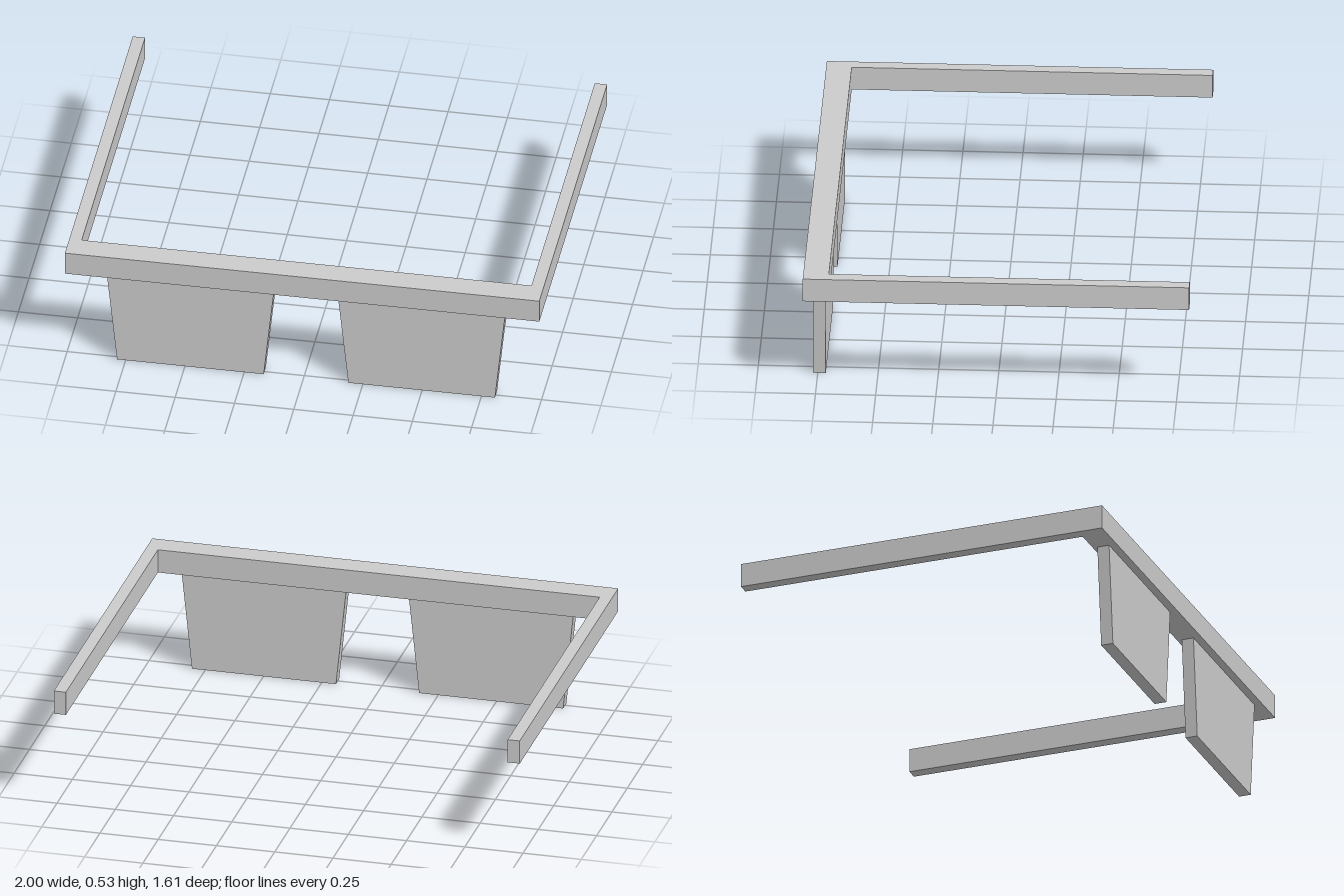
import * as THREE from 'three';

const material = new THREE.MeshStandardMaterial({ color: 0xcccccc, flatShading: true });

function shapeFrom(points) {
  return new THREE.Shape(points.map(([x, y]) => new THREE.Vector2(x, y)));
}

function addExtrusion(group, name, points, depth) {
  const geometry = new THREE.ExtrudeGeometry(shapeFrom(points), { depth, bevelEnabled: false });
  const mesh = new THREE.Mesh(geometry, material);
  mesh.name = name;
  group.add(mesh);
  return mesh;
}

export function createModel() {
  const group = new THREE.Group();
  group.name = 'glasses';

  // Brow bar and both temple arms as one U-shaped outline, drawn in plan (shape y = -z)
  const back = 0.803, front = -0.803, inner = 0.948, barBack = -0.697;
  const frame = addExtrusion(group, 'frame', [
    [-1, front], [1, front], [1, back], [inner, back],
    [inner, barBack], [-inner, barBack], [-inner, back], [-1, back],
  ], 0.103);
  frame.rotation.x = -Math.PI / 2;
  frame.position.y = 0.43;

  // Tapered lens slabs hanging under the bar, narrower at the bottom
  const lensOutline = [[-0.309, 0], [0.309, 0], [0.353, 0.43], [-0.353, 0.43]];
  for (const [name, x] of [['rightLens', -0.477], ['leftLens', 0.498]]) {
    const lens = addExtrusion(group, name, lensOutline, 0.052);
    lens.position.set(x, 0, 0.717);
  }

  return group;
}
